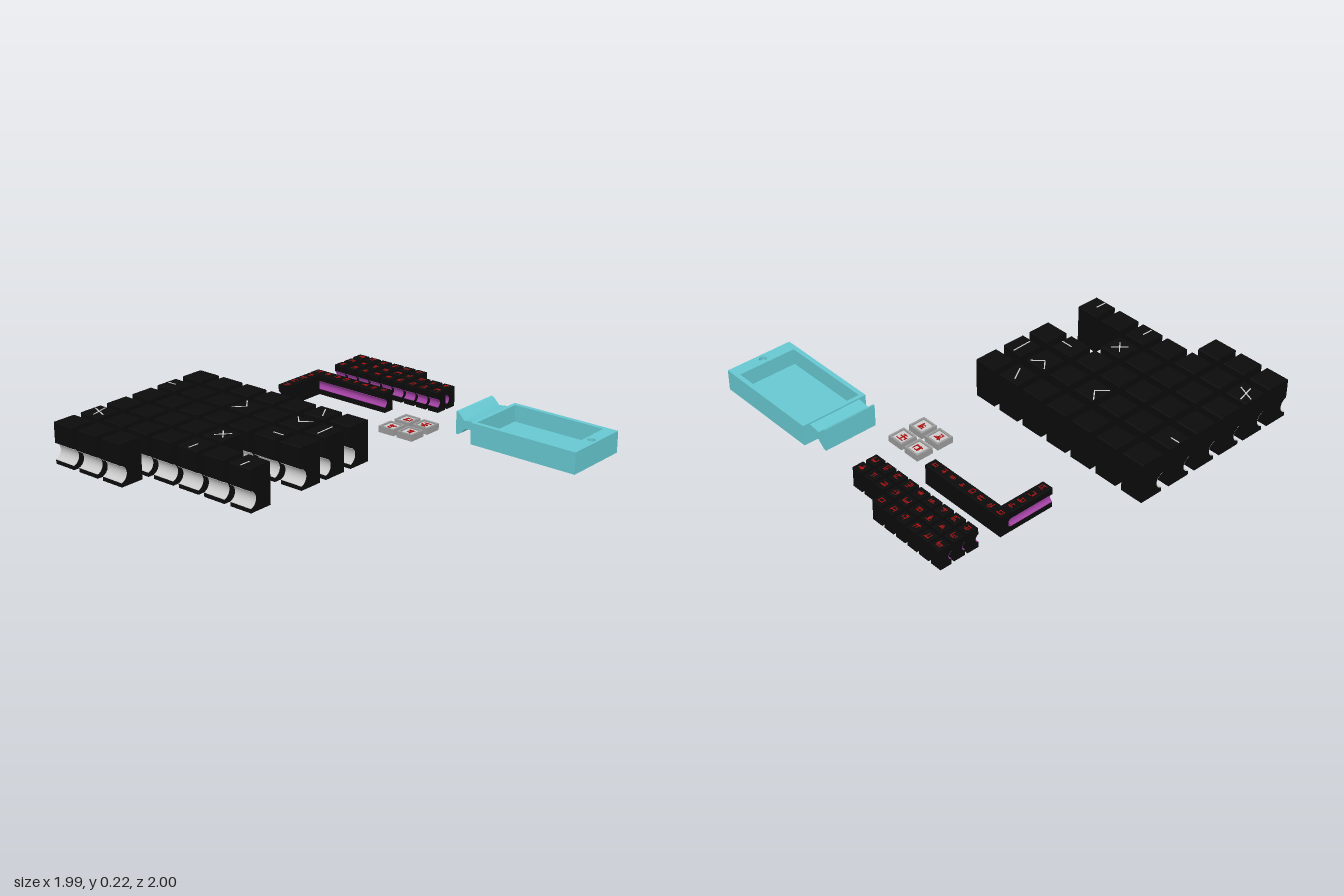
import * as THREE from 'three';

const mat = (color, side = THREE.FrontSide) => new THREE.MeshStandardMaterial({ color, side });
const black = mat(0x0b0b0b), white = mat(0xe6e6e6), purple = mat(0xa040a0), red = mat(0xb01010);
const teal = mat(0x66c7d0), grey = mat(0x9a9a9a), pale = mat(0xcccccc);

function add(parent, name, geometry, material, x = 0, y = 0, z = 0) {
  const mesh = new THREE.Mesh(geometry, material);
  mesh.name = name;
  mesh.position.set(x, y, z);
  parent.add(mesh);
  return mesh;
}

// Block with a round groove running along its -x side, plus the groove's coloured lining
function tileGeometries(w, d, h, gy, r, out, c) {
  const e = w / 2, cx = -e - out, t = Math.acos(out / r);
  const body = new THREE.Shape();
  body.moveTo(-e, 0);
  body.lineTo(e, 0);
  body.lineTo(e, h - c);
  body.lineTo(e - c, h);
  body.lineTo(-e + c, h);
  body.lineTo(-e, h - c);
  body.absarc(cx, gy, r, t, -t, true);
  const lining = new THREE.Shape();
  lining.absarc(cx, gy, r - 0.002, -t, t, false);
  lining.absarc(cx, gy, r, t, -t, true);
  return [body, lining].map(s =>
    new THREE.ExtrudeGeometry(s, { depth: d, bevelEnabled: false, curveSegments: 14 }).translate(0, 0, -d / 2));
}

function addTile(parent, name, [body, lining], liningMat, x, z, turn = 0) {
  const tile = new THREE.Group();
  tile.name = name;
  tile.position.set(x, 0, z);
  tile.rotation.y = turn;
  add(tile, 'tileBody', body, black);
  add(tile, 'grooveLining', lining, liningMat);
  parent.add(tile);
}

// Thin raised bar lying on a top face, from (x1, z1) to (x2, z2)
function addBar(parent, name, x1, z1, x2, z2, y, width, material) {
  const bar = add(parent, name, new THREE.BoxGeometry(Math.hypot(x2 - x1, z2 - z1), 0.004, width),
    material, (x1 + x2) / 2, y, (z1 + z2) / 2);
  bar.rotation.y = -Math.atan2(z2 - z1, x2 - x1);
}

// Abstract cluster of red strokes, varied by a seed
let seed = 7;
const rnd = () => (seed = (seed * 16807) % 2147483647) / 2147483647;
function addStrokes(parent, x, z, size, y, count) {
  for (let i = 0; i < count; i++) {
    const a = (rnd() - 0.5) * size, b = (rnd() - 0.5) * size, l = size * (0.2 + 0.25 * rnd());
    if (i % 2) addBar(parent, 'redStroke', x - l, z + a, x + l, z + a, y, size * 0.08, red);
    else addBar(parent, 'redStroke', x + b, z - l, x + b, z + l, y, size * 0.08, red);
  }
}

function largeTiles() {
  const g = new THREE.Group();
  g.name = 'largeTiles';
  const geos = tileGeometries(0.132, 0.13, 0.217, 0.065, 0.045, 0.01, 0.003);
  const cols = [[-0.928, 3], [-0.756, 7], [-0.585, 5], [-0.412, 7], [-0.237, 7], [-0.056, 7]];
  for (const [x, rows] of cols)
    for (let r = 0; r < rows; r++) addTile(g, 'largeTile', geos, white, x, -0.935 + r * 0.1675);
  // Pale lines on some of the tops
  const lines = [
    [-0.80, -0.93, -0.70, -0.955], [-0.775, -0.89, -0.735, -0.99], [-0.235, -0.99, -0.235, -0.94],
    [-0.29, -0.49, -0.235, -0.44], [-0.235, -0.44, -0.178, -0.49], [-0.81, -0.265, -0.75, -0.265],
    [-0.617, -0.292, -0.553, -0.234], [-0.617, -0.234, -0.553, -0.292], [-0.41, -0.10, -0.41, -0.036],
    [-0.18, -0.148, -0.23, -0.10], [-0.23, -0.10, -0.18, -0.05], [-0.095, -0.066, -0.017, -0.114],
    [-0.815, 0.068, -0.755, 0.068], [-0.29, 0.072, -0.176, 0.068]];
  for (const l of lines) addBar(g, 'topLine', ...l, 0.217, 0.006, white);
  return g;
}

function smallTiles() {
  const g = new THREE.Group();
  g.name = 'smallTiles';
  const geos = tileGeometries(0.064, 0.064, 0.111, 0.052, 0.024, 0.007, 0.002);
  const place = (x, z, turn) => {
    addTile(g, 'smallTile', geos, purple, x, z, turn);
    addStrokes(g, x, z, 0.036, 0.111, 5);
  };
  // Three loose columns
  for (const [x, z0, rows] of [[0.798, -0.695, 9], [0.877, -0.695, 9], [0.96, -0.70, 6]])
    for (let r = 0; r < rows; r++) place(x, z0 + r * 0.0808, 0);
  // Joined tiles in an L: back arm has its groove to the back, side arm to the -x side
  for (let i = 0; i < 4; i++) place(0.362 + i * 0.064, -0.712, -Math.PI / 2);
  for (let i = 0; i < 8; i++) place(0.618, -0.712 + i * 0.0646, 0);
  return g;
}

function flatTiles() {
  const g = new THREE.Group();
  g.name = 'flatTiles';
  const s = 0.048, n = 0.037;
  const frame = new THREE.Shape([[-s, -s], [s, -s], [s, s], [-s, s]].map(p => new THREE.Vector2(...p)));
  frame.holes.push(new THREE.Path([[-n, -n], [-n, n], [n, n], [n, -n]].map(p => new THREE.Vector2(...p))));
  const rim = new THREE.ExtrudeGeometry(frame, { depth: 0.035, bevelEnabled: false }).rotateX(-Math.PI / 2);
  for (const x of [0.399, 0.526])
    for (const z of [-0.029, 0.089]) {
      add(g, 'flatTileRim', rim, grey, x, 0, z);
      add(g, 'flatTilePanel', new THREE.BoxGeometry(2 * n, 0.028, 2 * n), pale, x, 0.014, z);
      addStrokes(g, x, z, 0.05, 0.029, 7);
    }
  return g;
}

function tray() {
  const g = new THREE.Group();
  g.name = 'tray';
  const [x0, x1, z0, z1, floor, top] = [0.515, 0.893, 0.381, 1.0, 0.025, 0.115];
  const rect = (Type, a, b, c, d) => new Type([[a, -d], [b, -d], [b, -c], [a, -c]].map(p => new THREE.Vector2(...p)));
  // Wall with the cavity and a round button recess
  const wall = rect(THREE.Shape, x0, x1, z0, z1);
  wall.holes.push(rect(THREE.Path, 0.54, 0.868, 0.402, 0.93));
  const button = new THREE.Path();
  button.absarc(0.704, -0.966, 0.02, 0, Math.PI * 2);
  wall.holes.push(button);
  const wallGeo = new THREE.ExtrudeGeometry(wall, { depth: top - floor, bevelEnabled: false, curveSegments: 20 });
  add(g, 'trayWall', wallGeo.rotateX(-Math.PI / 2), teal, 0, floor, 0);
  add(g, 'trayFloor', new THREE.BoxGeometry(x1 - x0, floor, z1 - z0), teal, (x0 + x1) / 2, floor / 2, (z0 + z1) / 2);
  add(g, 'buttonRecess', new THREE.CylinderGeometry(0.02, 0.02, 0.07, 32), teal, 0.704, 0.06, 0.966);
  // Neck flaring into an upright end plate; profile points are (-z, y)
  const profile = [[-0.385, 0.062], [-0.318, 0.054], [-0.295, 0.03], [-0.278, 0.018], [-0.262, 0.016],
    [-0.262, 0.138], [-0.276, 0.134], [-0.29, 0.12], [-0.312, 0.098], [-0.385, 0.107]];
  const neck = new THREE.ExtrudeGeometry(new THREE.Shape(profile.map(p => new THREE.Vector2(...p))),
    { depth: 0.301, bevelEnabled: false });
  add(g, 'flaredNeck', neck.rotateY(Math.PI / 2), teal, 0.553, 0, 0);
  return g;
}

export function createModel() {
  const model = new THREE.Group();
  model.name = 'tileSet';
  model.add(largeTiles(), smallTiles(), flatTiles(), tray());
  return model;
}
